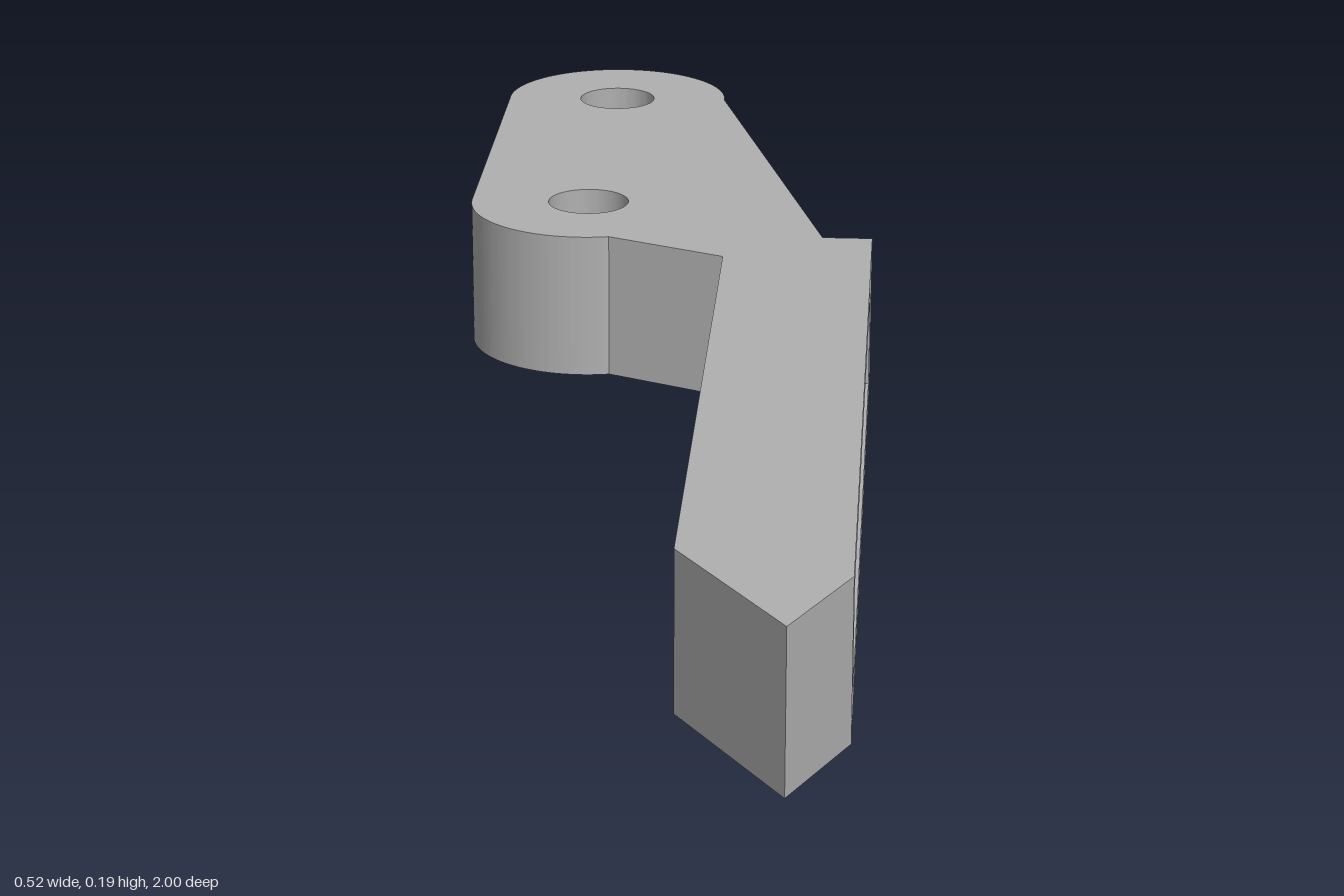
import * as THREE from 'three';
import { mergeGeometries, toCreasedNormals } from 'three/addons/utils/BufferGeometryUtils.js';

const HEIGHT = 0.185;
const SIDE_X = 0.261;
const SLOT_DEPTH = 0.045;

// Walls standing on a closed loop; material lies to the left of the loop direction
function walls(points, low, high, skip = () => false) {
  const pos = [];
  points.forEach((p, i) => {
    const q = points[(i + 1) % points.length];
    if (p.distanceTo(q) < 1e-5 || skip(p, q)) return;
    pos.push(p.x, p.y, low, q.x, q.y, low, q.x, q.y, high);
    pos.push(p.x, p.y, low, q.x, q.y, high, p.x, p.y, high);
  });
  const g = new THREE.BufferGeometry();
  g.setAttribute('position', new THREE.Float32BufferAttribute(pos, 3));
  return g;
}

// Flat face of a shape, with an optional flip to face downwards
function face(shape, level, flip = false) {
  const g = new THREE.ShapeGeometry(shape, 24);
  if (flip) g.index.array.reverse();
  const flat = g.toNonIndexed().translate(0, 0, level);
  flat.deleteAttribute('uv');
  flat.deleteAttribute('normal');
  return flat;
}

const finish = (parts) => toCreasedNormals(mergeGeometries(parts), 0.17);

export function createModel() {
  const group = new THREE.Group();
  const grey = new THREE.MeshStandardMaterial({ color: 0xb0b0b0 });
  grey.name = 'grey';
  const add = (name, geometry) => {
    const mesh = new THREE.Mesh(geometry, grey);
    mesh.name = name;
    group.add(mesh);
  };

  // Plan outline, drawn in x and -z: rounded mounting plate, neck, pointed arm
  const cx = -0.11, r = 0.152, back = 0.848, front = 0.36;
  const plan = new THREE.Shape();
  plan.moveTo(0.042, 0.375);
  plan.absarc(cx, back, r, 0, Math.PI, false);
  plan.absarc(cx, front, r, Math.PI, 2 * Math.PI - Math.acos(0.25), false);
  [[0.076, 0.143], [0.076, -0.81], [0.198, -1], [SIDE_X, -0.87], [SIDE_X, 0.228], [0.198, 0.228]]
    .forEach(([x, y]) => plan.lineTo(x, y));

  // Two bolt holes
  for (const y of [back, front]) {
    plan.holes.push(new THREE.Path().absarc(cx, y, 0.052, 0, 2 * Math.PI, true));
  }

  const onSlotSide = (p, q) => p.x > SIDE_X - 1e-4 && q.x > SIDE_X - 1e-4;
  const body = finish([
    face(plan, HEIGHT),
    face(plan, 0, true),
    walls(plan.getPoints(24), 0, HEIGHT, onSlotSide),
    ...plan.holes.map((hole) => walls(hole.getPoints(24), 0, HEIGHT)),
  ]);
  add('bracketBody', body.rotateX(-Math.PI / 2));

  // Long side of the arm with a rectangular slot, drawn in -z and y
  const rect = (Type, u0, u1, v0, v1) => new Type(
    [[u0, v0], [u1, v0], [u1, v1], [u0, v1]].map(([u, v]) => new THREE.Vector2(u, v)));
  const slot = [-0.82, 0.11, 0.033, 0.155];
  const side = rect(THREE.Shape, -0.87, 0.228, 0, HEIGHT);
  side.holes.push(rect(THREE.Path, ...slot));
  add('slottedSide', finish([face(side, 0)]).rotateY(Math.PI / 2).translate(SIDE_X, 0, 0));

  // Slot recess: inward walls and floor
  const floor = rect(THREE.Shape, ...slot);
  const recess = finish([
    face(floor, -SLOT_DEPTH),
    walls(floor.getPoints().slice(0, 4).reverse(), -SLOT_DEPTH, 0),
  ]);
  add('slotRecess', recess.rotateY(Math.PI / 2).translate(SIDE_X, 0, 0));

  return group;
}
